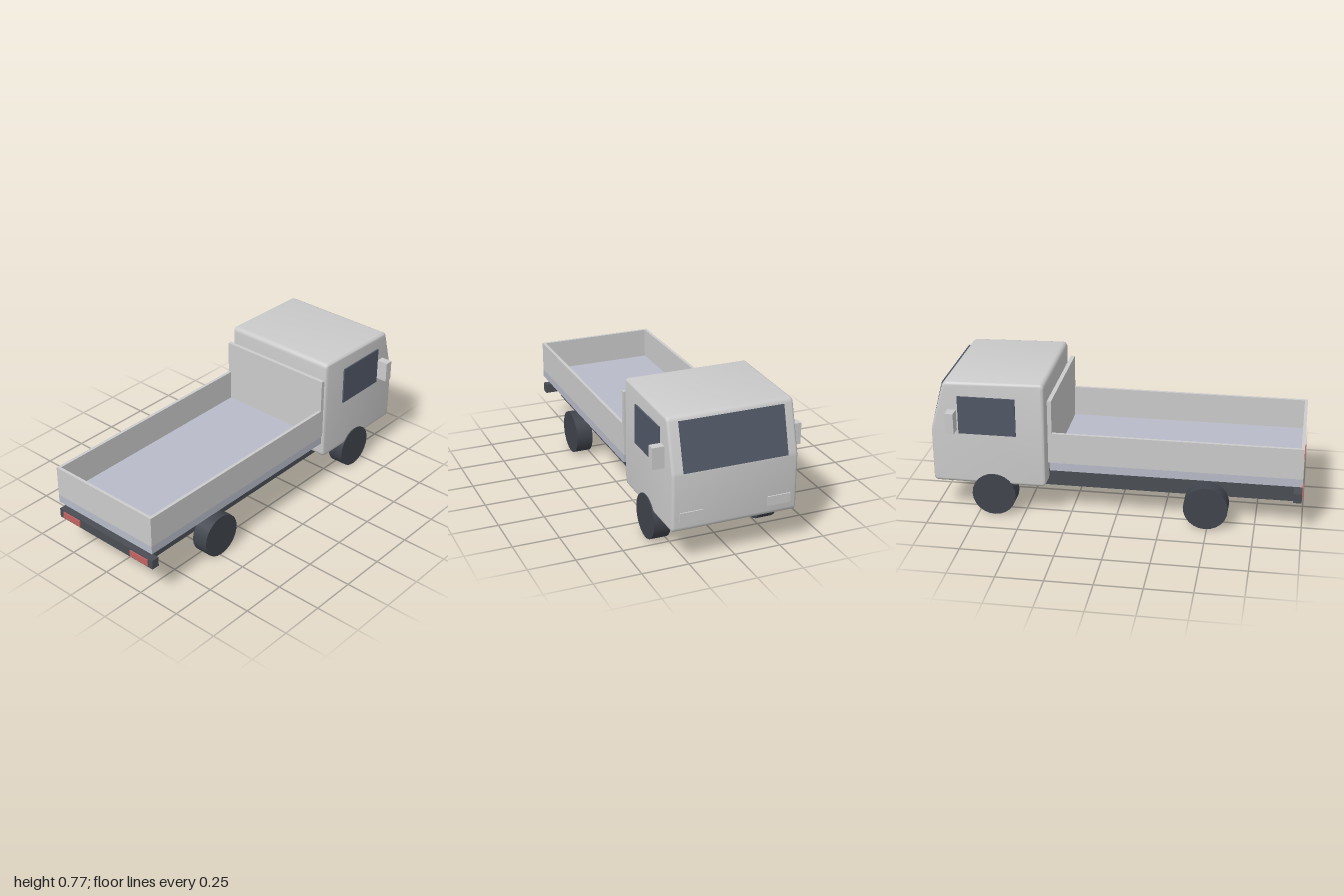
import * as THREE from 'three';
import { toCreasedNormals } from 'three/addons/utils/BufferGeometryUtils.js';

const mat = (color) => new THREE.MeshStandardMaterial({ color });
const body = mat(0xcccccc), floorGrey = mat(0xb8bcc8), dark = mat(0x4a4e54);
const glass = mat(0x505866), rubber = mat(0x40444c), red = mat(0xc46464);

export function createModel() {
  const truck = new THREE.Group();
  truck.name = 'flatbedTruck';

  const add = (name, geometry, material, x = 0, y = 0, z = 0) => {
    const mesh = new THREE.Mesh(geometry, material);
    mesh.name = name;
    mesh.position.set(x, y, z);
    truck.add(mesh);
    return mesh;
  };
  // Box given by its minimum and maximum on each axis
  const box = (name, material, x0, x1, y0, y1, z0, z1) =>
    add(name, new THREE.BoxGeometry(x1 - x0, y1 - y0, z1 - z0), material,
      (x0 + x1) / 2, (y0 + y1) / 2, (z0 + z1) / 2);

  // Cab: side profile as (-z, y), corners rounded, extruded across the width
  const bevel = 0.015;
  const corners = [[0.373, 0.18], [0.993, 0.18], [0.993, 0.485], [0.92, 0.76], [0.373, 0.772]]
    .map(([u, v]) => new THREE.Vector2(u, v));
  const profile = new THREE.Shape();
  const centre = new THREE.Vector2(0.68, 0.47);
  const inset = corners.map((p) => new THREE.Vector2(
    p.x - Math.sign(p.x - centre.x) * bevel, p.y - (Math.abs(p.y - 0.485) < 0.01 ? 0 : Math.sign(p.y - centre.y) * bevel)));
  inset.forEach((p, i) => {
    const prev = inset[(i + 4) % 5], next = inset[(i + 1) % 5];
    const a = p.clone().add(prev.clone().sub(p).setLength(0.012));
    const b = p.clone().add(next.clone().sub(p).setLength(0.012));
    if (i === 0) profile.moveTo(a.x, a.y); else profile.lineTo(a.x, a.y);
    profile.quadraticCurveTo(p.x, p.y, b.x, b.y);
  });
  profile.closePath();
  const width = 0.676;
  const cabGeometry = new THREE.ExtrudeGeometry(profile, {
    depth: width - 2 * bevel, bevelEnabled: true, bevelSize: bevel,
    bevelThickness: bevel, bevelSegments: 3, curveSegments: 4,
  });
  cabGeometry.translate(0, 0, -(width - 2 * bevel) / 2);
  cabGeometry.rotateY(Math.PI / 2);
  add('cab', toCreasedNormals(cabGeometry, 0.7), body);

  // Sloping windscreen
  const windscreen = add('windscreen', new THREE.BoxGeometry(0.56, 0.255, 0.016), glass, 0, 0.614, -0.959);
  windscreen.rotation.x = Math.atan2(0.073, 0.275);

  // Chassis and rear bumper
  box('chassis', dark, -0.242, 0.242, 0.152, 0.243, -0.877, 0.958);
  box('rearBumper', dark, -0.338, 0.338, 0.19, 0.243, 0.95, 0.994);

  // Cargo bed: floor, tailgate and taller headboard
  box('bedFloor', floorGrey, -0.338, 0.338, 0.285, 0.33, -0.348, 0.994);
  box('tailgate', body, -0.338, 0.338, 0.33, 0.5, 0.977, 0.994);
  box('headboard', body, -0.338, 0.338, 0.33, 0.684, -0.356, -0.334);

  // Parts repeated on both sides
  for (const s of [1, -1]) {
    const side = s > 0 ? 'left' : 'right';
    const pair = (name, material, x0, x1, ...rest) =>
      box(side + name, material, Math.min(s * x0, s * x1), Math.max(s * x0, s * x1), ...rest);
    pair('BedWall', body, 0.321, 0.338, 0.33, 0.5, -0.334, 0.977);
    pair('Window', glass, 0.325, 0.346, 0.472, 0.684, -0.84, -0.528);
    pair('Mirror', body, 0.33, 0.402, 0.49, 0.605, -0.895, -0.85);
    pair('Headlight', body, 0.175, 0.3, 0.235, 0.285, -1, -0.98);
    pair('TailLight', red, 0.184, 0.308, 0.198, 0.236, 0.985, 1);
    for (const [end, z] of [['Front', -0.66], ['Rear', 0.49]]) {
      const tyre = new THREE.CylinderGeometry(0.12, 0.12, 0.092, 24);
      tyre.rotateZ(Math.PI / 2);
      add(side + end + 'Wheel', tyre, rubber, s * 0.298, 0.12, z);
    }
  }
  return truck;
}
